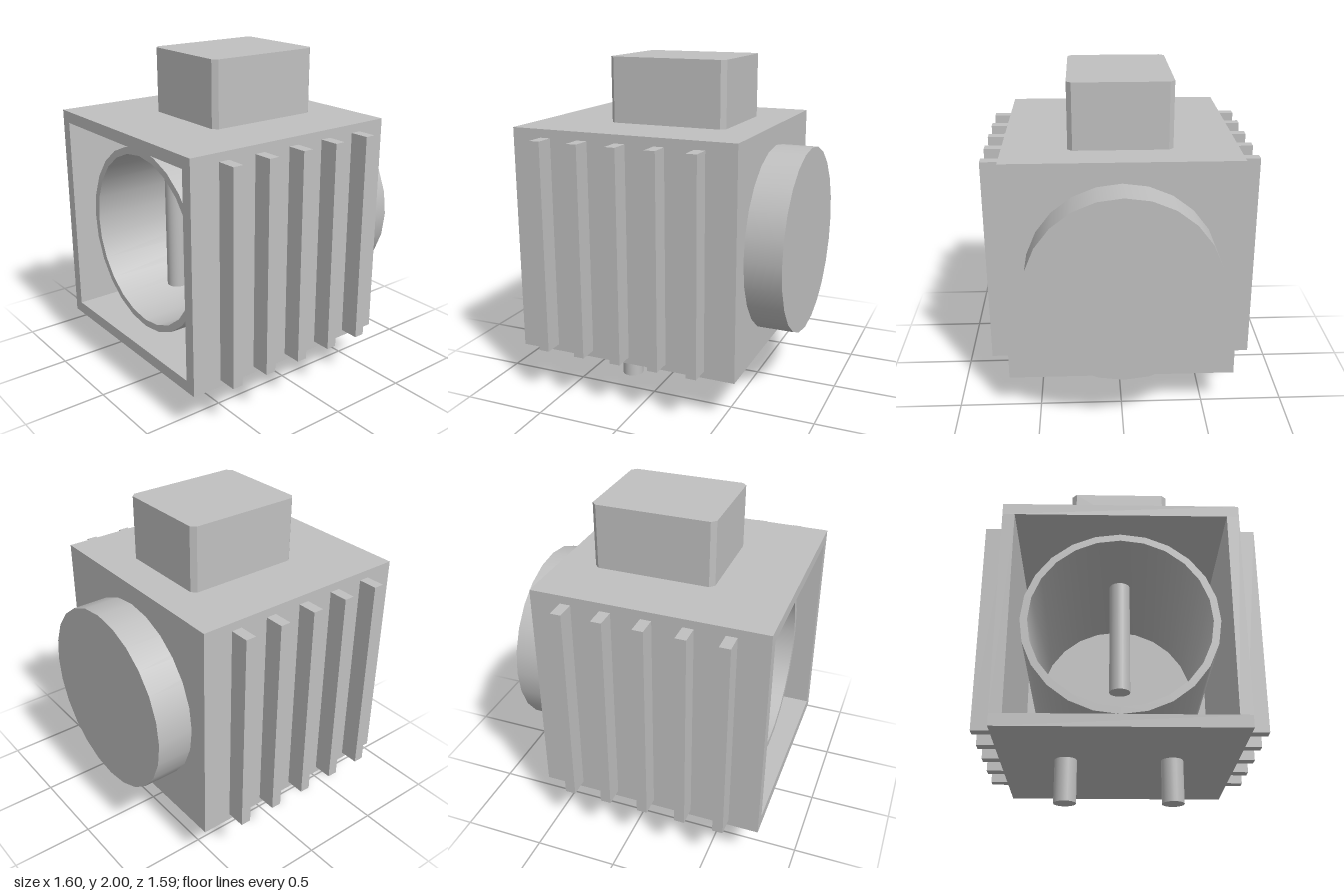
import * as THREE from 'three';
import { toCreasedNormals } from 'three/addons/utils/BufferGeometryUtils.js';

export function createModel() {
  const group = new THREE.Group();
  const grey = new THREE.MeshStandardMaterial({ color: 0xc0c0c0 });
  grey.name = 'light grey';

  const add = (name, geometry, x = 0, y = 0, z = 0) => {
    const mesh = new THREE.Mesh(geometry, grey);
    mesh.name = name;
    mesh.position.set(x, y, z);
    group.add(mesh);
    return mesh;
  };
  // box given by its lower and upper corners
  const box = (name, x0, x1, y0, y1, z0, z1) =>
    add(name, new THREE.BoxGeometry(x1 - x0, y1 - y0, z1 - z0),
      (x0 + x1) / 2, (y0 + y1) / 2, (z0 + z1) / 2);

  // housing: five plates, open towards -x
  const L = -0.8, R = 0.58, B = 0.25, T = 1.61, D = 0.68, t = 0.07;
  box('topPlate', L, R, T - t, T, -D, D);
  box('bottomPlate', L, R, B, B + t, -D, D);
  box('frontPlate', L, R, B + t, T - t, D - t, D);
  box('backPlate', L, R, B + t, T - t, -D, t - D);
  box('endPlate', R - t, R, B + t, T - t, t - D, D - t);

  // cooling fins on the front and back
  for (const s of [-1, 1]) {
    for (let i = 0; i < 5; i++) {
      add('coolingFin', new THREE.BoxGeometry(0.064, 1.27, 0.12),
        -0.587 + i * 0.238, 0.925, s * 0.737);
    }
  }

  // deep cup running through the end plate, turned along x
  const turned = (name, points) => {
    const lathe = new THREE.LatheGeometry(points.map(p => new THREE.Vector2(...p)), 24);
    lathe.rotateZ(-Math.PI / 2);
    add(name, toCreasedNormals(lathe, 0.5), 0, 0.927, 0);
  };
  turned('cupShell', [[0.52, -0.68], [0.562, -0.68], [0.562, 0.8], [0, 0.8]]);
  turned('cupCavity', [[0, 0.74], [0.52, 0.74], [0.52, -0.68]]);

  // lamp tube inside the cup
  add('lampTube', new THREE.CylinderGeometry(0.06, 0.06, 0.68, 24), -0.44, 0.927, 0);

  // control box with chamfered upright edges
  const w = 0.365, d = 0.302, c = 0.028;
  const outline = new THREE.Shape([
    [w - c, -d], [w, c - d], [w, d - c], [w - c, d],
    [c - w, d], [-w, d - c], [-w, c - d], [c - w, -d],
  ].map(p => new THREE.Vector2(...p)));
  const boxGeo = new THREE.ExtrudeGeometry(outline, { depth: 2 - T, bevelEnabled: false });
  boxGeo.rotateX(-Math.PI / 2);
  add('controlBox', boxGeo, 0, T, 0);

  // mounting pins below
  for (const s of [-1, 1]) {
    add('mountingPin', new THREE.CylinderGeometry(0.064, 0.064, 0.26, 24), -0.242, 0.13, s * 0.303);
  }
  return group;
}
